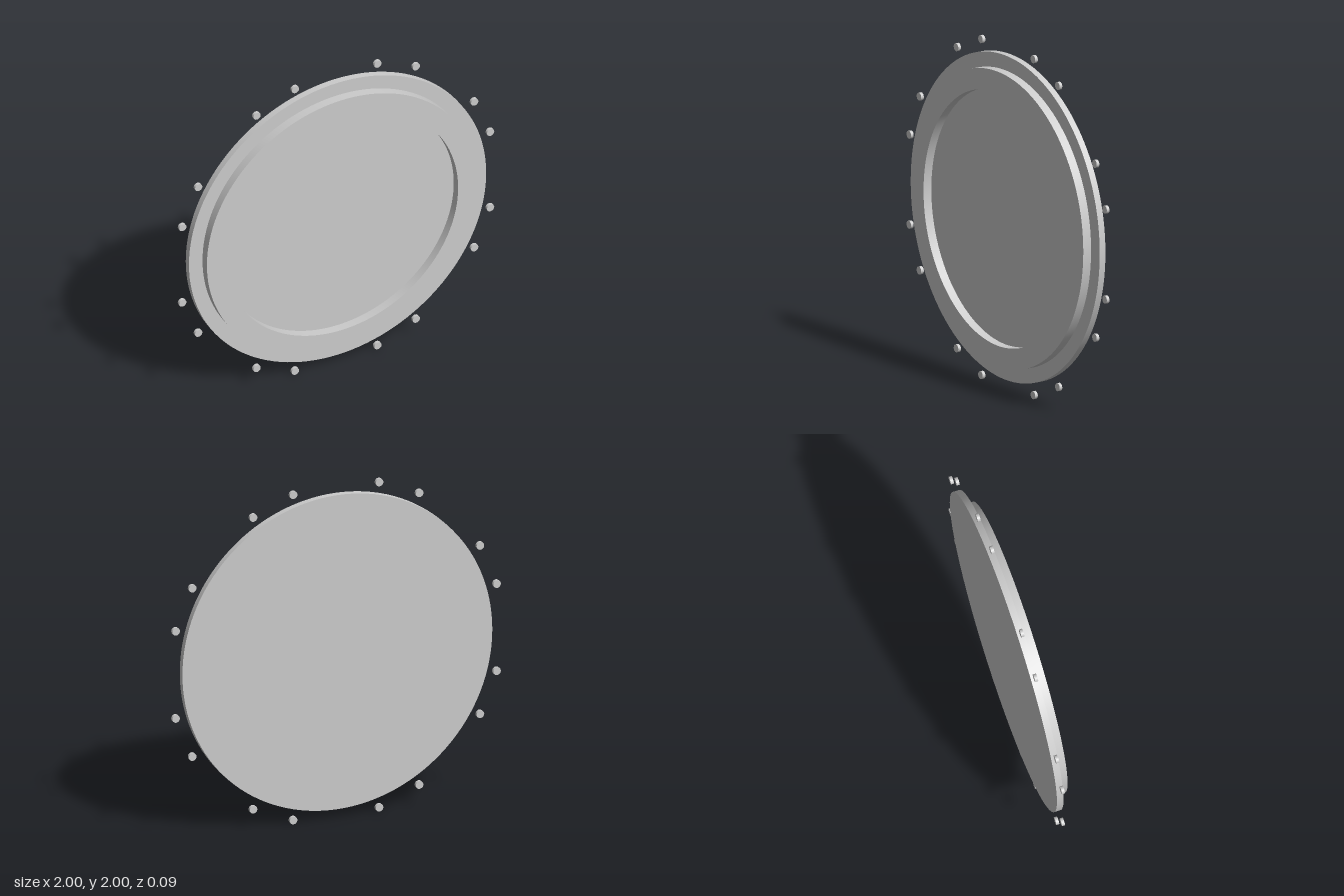
import * as THREE from 'three';
import { toCreasedNormals } from 'three/addons/utils/BufferGeometryUtils.js';

const CENTER_Y = 1;
const BACK = -0.046, STEP = -0.007, FRONT = 0.046;
const material = new THREE.MeshStandardMaterial({ color: 0xcccccc });

// Turns a [radius, z] profile around the z axis, keeping its edges sharp
function turned(name, profile) {
  const points = profile.map(([r, z]) => new THREE.Vector2(r, z));
  const geometry = new THREE.LatheGeometry(points, 128).rotateX(Math.PI / 2);
  const mesh = new THREE.Mesh(toCreasedNormals(geometry, Math.PI / 6), material);
  mesh.name = name;
  return mesh;
}

export function createModel() {
  const model = new THREE.Group();
  model.name = 'flangedCover';

  const body = new THREE.Group();
  body.name = 'body';
  body.position.y = CENTER_Y;
  model.add(body);

  // Flat back plate
  body.add(turned('backPlate', [[0, BACK], [0.943, BACK], [0.943, STEP], [0, STEP]]));

  // Raised ring around the shallow recess
  body.add(turned('raisedRing', [[0.857, STEP], [0.857, FRONT], [0.737, FRONT], [0.737, STEP]]));

  // Small pins around the rim, four in each quadrant
  const pins = new THREE.Group();
  pins.name = 'pins';
  const pinGeometry = new THREE.CylinderGeometry(0.023, 0.023, 0.018, 32).rotateX(Math.PI / 2);
  for (let quadrant = 0; quadrant < 4; quadrant++) {
    for (const degrees of [15, 30, 60, 75]) {
      const angle = THREE.MathUtils.degToRad(quadrant * 90 + degrees);
      const pin = new THREE.Mesh(pinGeometry, material);
      pin.name = 'pin';
      pin.position.set(1.011 * Math.cos(angle), 1.011 * Math.sin(angle), -0.026);
      pins.add(pin);
    }
  }
  body.add(pins);

  return model;
}
